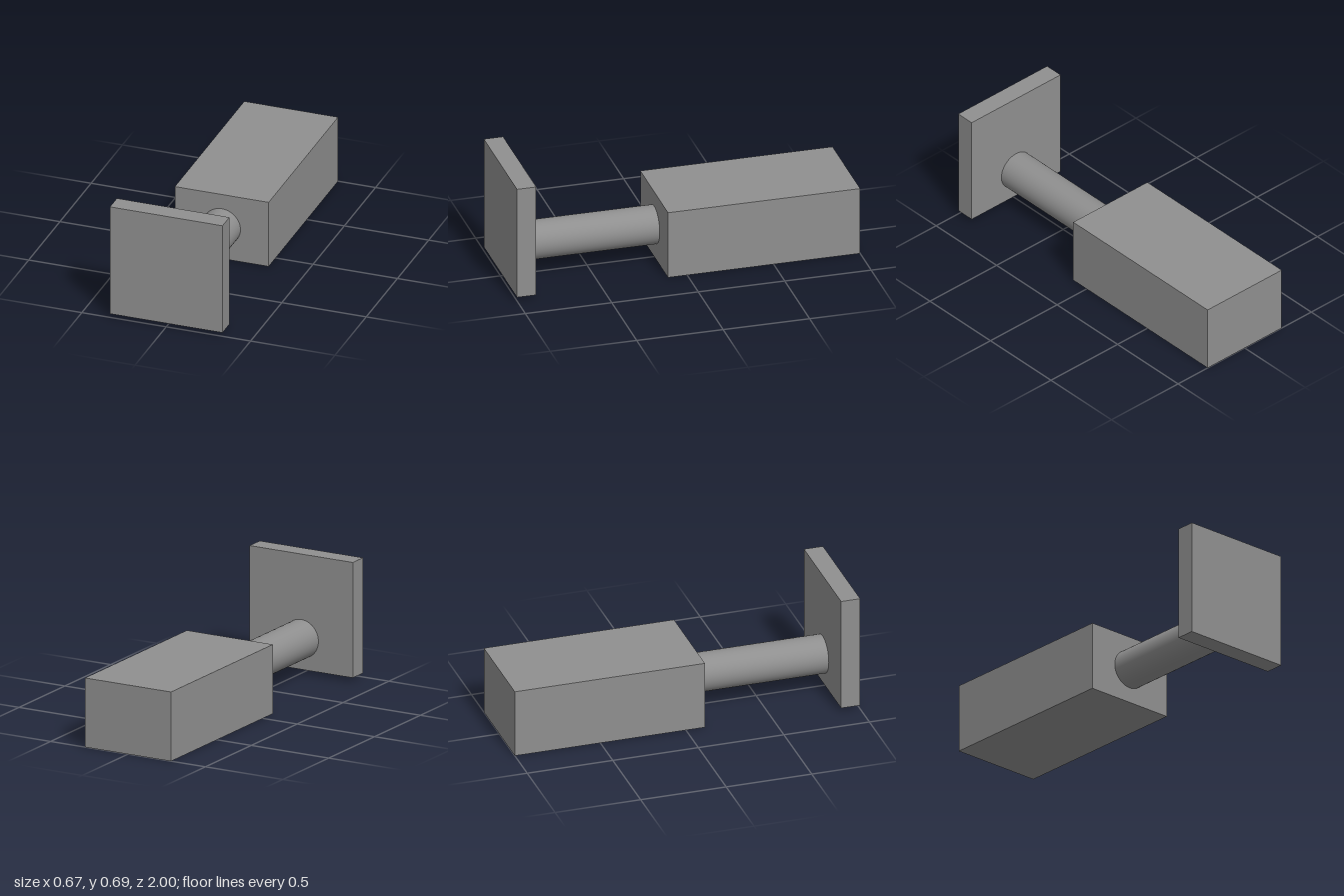
import * as THREE from 'three';

export function createModel() {
  const model = new THREE.Group();
  model.name = 'piston';
  const material = new THREE.MeshStandardMaterial({ color: 0x8f8f8f });

  function add(name, geometry, y, z) {
    const mesh = new THREE.Mesh(geometry, material);
    mesh.name = name;
    mesh.position.set(0, y, z);
    model.add(mesh);
  }

  // Rear housing block
  add('housing', new THREE.BoxGeometry(0.556, 0.4, 1.111), 0.2, -0.4445);

  // Round rod running from the housing to the plate
  const rod = new THREE.CylinderGeometry(0.111, 0.111, 0.778, 48).rotateX(Math.PI / 2);
  add('rod', rod, 0.2, 0.5);

  // Square front plate, set higher than the rod axis
  add('pushPlate', new THREE.BoxGeometry(0.667, 0.667, 0.111), 0.356, 0.9445);

  return model;
}
